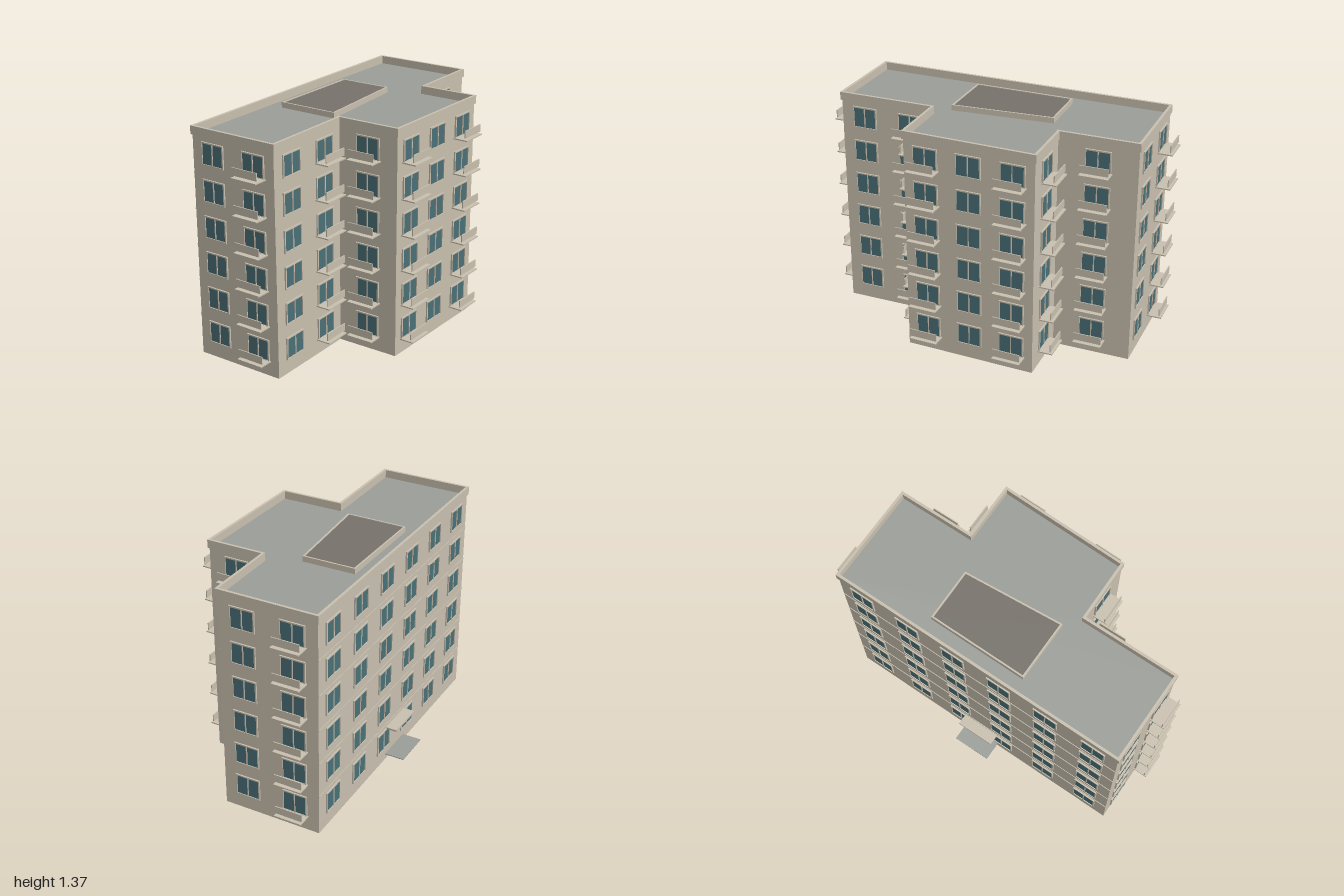
import * as THREE from 'three';

const mat = (name, color, side = THREE.FrontSide) => {
  const m = new THREE.MeshStandardMaterial({ color, side });
  m.name = name;
  return m;
};
const M = {
  wall: mat('cream render', 0xc9c0af, THREE.DoubleSide),
  glass: mat('teal glass', 0x4a7077),
  roof: mat('grey roofing', 0x9c9f99, THREE.DoubleSide),
  hatch: mat('dark roofing', 0x77736b),
};

const FLOORS = 6, STOREY = 0.2133, SILL = 0.087, EAVES = 1.316, TOP = 1.365;
const WIN_W = 0.153, WIN_H = 0.134, BORDER = 0.008;

// Footprint corners [x, z], counter-clockwise seen from above, starting front left.
// Each has the openings of the wall that runs to the next corner: w = window, b = balcony.
const corners = [
  [-0.895, 0.165, 'wb'], [-0.312, 0.12, 'b'], [-0.281, 0.5, 'bwb'], [0.502, 0.46, 'b'],
  [0.475, 0.112, 'b'], [0.937, 0.074, 'wb'], [0.89, -0.523, 'wwwwww'], [-0.933, -0.39, 'wb'],
];
const BACK = 6;

function add(parent, name, geometry, material, x = 0, y = 0, z = 0) {
  const m = new THREE.Mesh(geometry, material);
  m.name = name;
  m.position.set(x, y, z);
  parent.add(m);
  return m;
}
const box = (w, h, d) => new THREE.BoxGeometry(w, h, d);

// Polygon moved outward by d (negative moves inward)
function offset(pts, d) {
  const n = pts.length;
  return pts.map((p, i) => {
    const a = pts[(i + n - 1) % n], b = pts[(i + 1) % n];
    const u = new THREE.Vector2(p[0] - a[0], p[1] - a[1]).normalize();
    const v = new THREE.Vector2(b[0] - p[0], b[1] - p[1]).normalize();
    const k = d / (1 + u.dot(v));
    return [p[0] + k * (-u.y - v.y), p[1] + k * (u.x + v.x)];
  });
}
const toVec = (pts) => pts.map(([x, z]) => new THREE.Vector2(x, -z));

// Flat plate, or ring when a hole is given, lying in the ground plane
function slab(outer, hole, height) {
  const s = new THREE.Shape(toVec(outer));
  if (hole) s.holes.push(new THREE.Path(toVec(hole)));
  const g = height
    ? new THREE.ExtrudeGeometry(s, { depth: height, bevelEnabled: false })
    : new THREE.ShapeGeometry(s);
  return g.rotateX(-Math.PI / 2);
}

const rect = (x0, y0, x1, y1) => [[x0, y0], [x1, y0], [x1, y1], [x0, y1]].map((p) => new THREE.Vector2(...p));

// Window frame with two panes either side of a mullion
function frameGeometry() {
  const w = WIN_W / 2, h = WIN_H / 2, b = BORDER, m = 0.003;
  const s = new THREE.Shape(rect(-w, -h, w, h));
  s.holes.push(new THREE.Path(rect(-w + b, -h + b, -m, h - b)));
  s.holes.push(new THREE.Path(rect(m, -h + b, w - b, h - b)));
  return new THREE.ExtrudeGeometry(s, { depth: 0.009, bevelEnabled: false });
}

export function createModel() {
  const model = new THREE.Group();
  model.name = 'apartmentBlock';

  const geo = {
    frame: frameGeometry(),
    glass: box(WIN_W - BORDER, WIN_H - BORDER, 0.006),
    floor: box(0.168, 0.007, 0.088),
    panel: box(0.168, 0.045, 0.006),
  };

  corners.forEach(([x0, z0, openings], i) => {
    const [x1, z1] = corners[(i + 1) % corners.length];
    const length = Math.hypot(x1 - x0, z1 - z0);

    // Wall frame: local x runs along the wall, local z points outward
    const side = new THREE.Group();
    side.name = 'facade';
    side.position.set((x0 + x1) / 2, 0, (z0 + z1) / 2);
    side.rotation.y = Math.atan2(z0 - z1, x1 - x0);
    model.add(side);
    add(side, 'wall', new THREE.PlaneGeometry(length, EAVES), M.wall, 0, EAVES / 2, 0);

    for (let f = 0; f < FLOORS; f++) {
      const base = SILL + f * STOREY;
      [...openings].forEach((type, k) => {
        const x = ((k + 0.5) / openings.length - 0.5) * length;
        add(side, 'windowFrame', geo.frame, M.wall, x, base + WIN_H / 2, 0);
        add(side, 'windowGlass', geo.glass, M.glass, x, base + WIN_H / 2, 0.001);
        if (type === 'b') {
          add(side, 'balconyFloor', geo.floor, M.wall, x, base + 0.003, 0.044);
          add(side, 'balconyPanel', geo.panel, M.wall, x, base + 0.04, 0.074);
        }
      });
      // Thin ledges between the storeys of the back wall
      if (i === BACK && f > 0) {
        add(side, 'ledge', box(length, 0.006, 0.008), M.wall, 0, 0.033 + f * STOREY, 0);
      }
    }

    // Entrance canopy and step
    if (i === BACK) {
      add(side, 'entranceCanopy', box(0.236, 0.012, 0.07), M.wall, 0, 0.222, 0.035);
      add(side, 'entranceStep', box(0.236, 0.005, 0.12), M.roof, 0, 0.036, 0.06);
    }
  });

  // Roof and parapet
  const plan = corners.map(([x, z]) => [x, z]);
  add(model, 'roof', slab(plan), M.roof, 0, EAVES + 0.001, 0);
  add(model, 'parapet', slab(offset(plan, 0.008), offset(plan, -0.008), TOP - EAVES), M.wall, 0, EAVES, 0);

  // Low rooftop housing with a raised rim
  const hatch = [[-0.241, 0.022], [0.364, -0.075], [0.337, -0.39], [-0.267, -0.348]];
  hatch[1][1] = -0.07;
  add(model, 'roofHousingRim', slab(hatch, offset(hatch, -0.01), 0.034), M.wall, 0, EAVES, 0);
  add(model, 'roofHousingTop', slab(offset(hatch, -0.009), null, 0.03), M.hatch, 0, EAVES, 0);

  return model;
}
